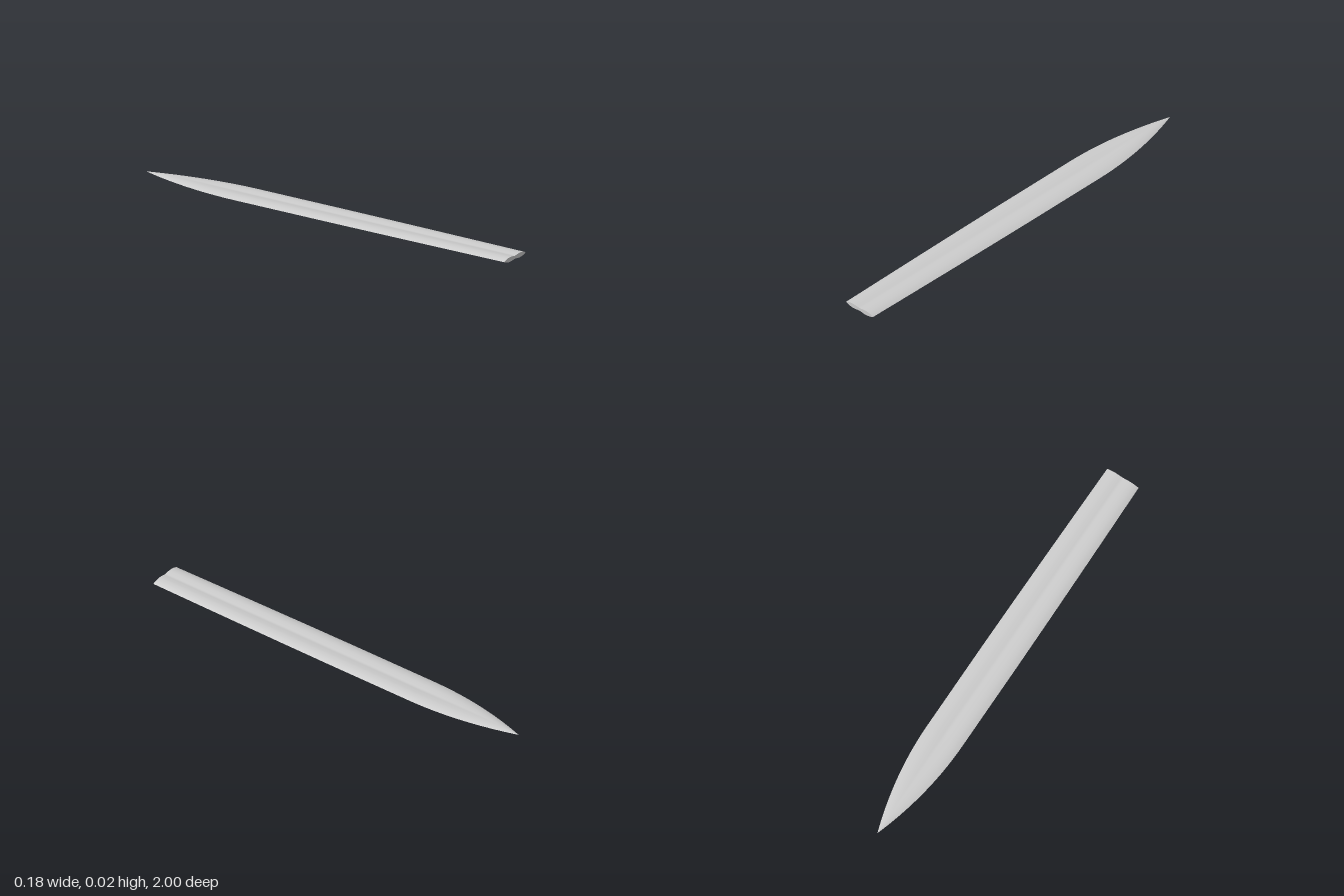
import * as THREE from 'three';

const MID = 0.011;        // height of the cutting edges
const SHOULDER = -0.45;   // where the point begins
const steel = new THREE.MeshStandardMaterial({ color: 0xcccccc });
steel.name = 'steel';

// Half cross-section: [fraction of half width, fraction of half thickness]
const section = new THREE.CatmullRomCurve3(
  [[-1, 0], [-0.86, 0.46], [-0.65, 0.88], [-0.44, 1], [-0.2, 0.84], [0, 0.64],
    [0.2, 0.84], [0.44, 1], [0.65, 0.88], [0.86, 0.46], [1, 0]]
    .map(([x, y]) => new THREE.Vector3(x, y, 0))).getPoints(40);

// 0 along the body, rising to 1 at the point
const pointAmount = (z) => Math.max(0, (SHOULDER - z) / (1 + SHOULDER));

function halfWidth(z) {
  if (z < SHOULDER) return 0.092 * (1 - pointAmount(z) ** 2);
  return 0.092 - 0.009 * Math.max(0, z) ** 1.4;
}

// The groove fades into a lens section towards the point
function sectionPoint(p, z) {
  const t = pointAmount(z);
  const fade = Math.min(1, t * 1.2);
  const lens = 0.9 * (1 - p.x * p.x);
  const thickness = 0.011 * (1 - t ** 5);
  return [p.x * halfWidth(z), THREE.MathUtils.lerp(p.y, lens, fade) * thickness];
}

// One broad side of the blade: side is 1 for the top, -1 for the underside
function bladeFace(side) {
  const stations = [1, 0.75, 0.5, 0.25, 0, -0.25];
  for (let i = 0; i <= 24; i++) stations.push(SHOULDER - (1 + SHOULDER) * (i / 24));
  const n = section.length;
  const positions = [];
  const index = [];
  stations.forEach((z, i) => {
    for (const p of section) {
      const [x, y] = sectionPoint(p, z);
      positions.push(x, MID + side * y, z);
    }
    if (i === 0) return;
    for (let j = 0; j < n - 1; j++) {
      const a = (i - 1) * n + j, b = a + 1, c = a + n, d = c + 1;
      if (side > 0) index.push(a, b, d, a, d, c);
      else index.push(a, d, b, a, c, d);
    }
  });
  const geometry = new THREE.BufferGeometry();
  geometry.setAttribute('position', new THREE.Float32BufferAttribute(positions, 3));
  geometry.setIndex(index);
  geometry.computeVertexNormals();
  return geometry;
}

// Flat end closing the wide end of the blade
function endCap() {
  const outline = section.map((p) => sectionPoint(p, 1));
  const lower = outline.map(([x, y]) => new THREE.Vector2(x, MID - y));
  const upper = outline.slice(1, -1).reverse().map(([x, y]) => new THREE.Vector2(x, MID + y));
  return new THREE.ShapeGeometry(new THREE.Shape([...lower, ...upper])).translate(0, 0, 1);
}

export function createModel() {
  const blade = new THREE.Group();
  blade.name = 'blade';
  const add = (name, geometry) => {
    const mesh = new THREE.Mesh(geometry, steel);
    mesh.name = name;
    blade.add(mesh);
  };
  add('bladeTop', bladeFace(1));
  add('bladeUnderside', bladeFace(-1));
  add('bladeEnd', endCap());
  return blade;
}
